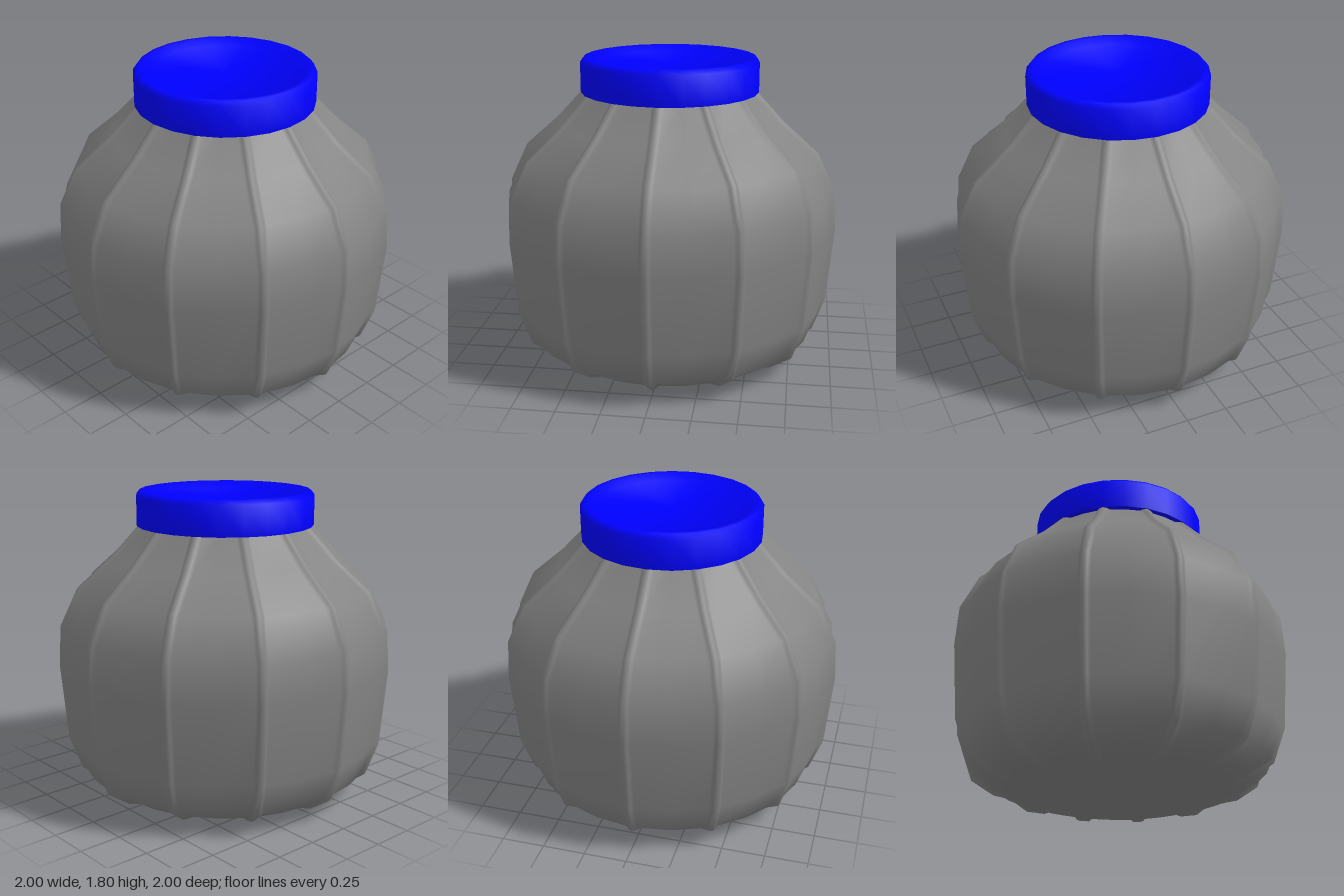
import * as THREE from 'three';
import { toCreasedNormals } from 'three/addons/utils/BufferGeometryUtils.js';

const LID_SIDES = 24;
const RIBS = 12;

// Jar wall between the ribs as [radius, height], from base to neck
const WALL = [
  [0.61, 0.015], [0.735, 0.055], [0.868, 0.145], [0.938, 0.335], [0.976, 0.79],
  [0.962, 1.025], [0.86, 1.24], [0.656, 1.42], [0.49, 1.6], [0.465, 1.64],
];

// Cross-section of one rib as [sideways, raised]
const RIB = [[-0.037, 0], [-0.021, 0.017], [0, 0.024], [0.021, 0.017], [0.037, 0]];

// Outward direction of the wall at point i
function wallNormal(i) {
  const a = WALL[Math.max(i - 1, 0)];
  const b = WALL[Math.min(i + 1, WALL.length - 1)];
  return new THREE.Vector2(b[1] - a[1], a[0] - b[0]).normalize();
}

// One smooth skin: each ring runs over the ribs and the panels between them
function ribbedBody() {
  const positions = [0, WALL[0][1], 0];
  const indices = [];
  const around = RIBS * (RIB.length + 1);

  WALL.forEach(([radius, height], i) => {
    const normal = wallNormal(i);
    const addPoint = (angle, side, lift) => {
      const r = radius + lift * normal.x;
      positions.push(
        r * Math.sin(angle) + side * Math.cos(angle),
        Math.max(0, height + lift * normal.y),
        r * Math.cos(angle) - side * Math.sin(angle));
    };
    for (let k = 0; k < RIBS; k++) {
      const angle = (k / RIBS) * Math.PI * 2;
      RIB.forEach(([side, lift]) => addPoint(angle, side, lift));
      addPoint(angle + Math.PI / RIBS, 0, 0);
    }
  });

  for (let j = 0; j < around; j++) {
    const next = (j + 1) % around;
    indices.push(0, 1 + next, 1 + j); // flat base
    for (let i = 0; i < WALL.length - 1; i++) {
      const low = 1 + i * around;
      const high = low + around;
      indices.push(low + j, low + next, high + next, low + j, high + next, high + j);
    }
  }

  const geometry = new THREE.BufferGeometry();
  geometry.setAttribute('position', new THREE.Float32BufferAttribute(positions, 3));
  geometry.setIndex(indices);
  geometry.computeVertexNormals();
  return geometry;
}

// Screw lid with a chamfered rim and a sunken top
function screwLid() {
  const profile = [
    [0, 1.605], [0.523, 1.605], [0.523, 1.78], [0.503, 1.805],
    [0.475, 1.805], [0.44, 1.77], [0, 1.77],
  ].map(([r, y]) => new THREE.Vector2(r, y));
  return toCreasedNormals(new THREE.LatheGeometry(profile, LID_SIDES), 0.95);
}

function addMesh(parent, name, geometry, color) {
  const mesh = new THREE.Mesh(geometry, new THREE.MeshStandardMaterial({ color }));
  mesh.name = name;
  parent.add(mesh);
}

export function createModel() {
  const model = new THREE.Group();
  model.name = 'jar';
  addMesh(model, 'ribbedBody', ribbedBody(), 0x858585);
  addMesh(model, 'lid', screwLid(), 0x0000ff);
  return model;
}
